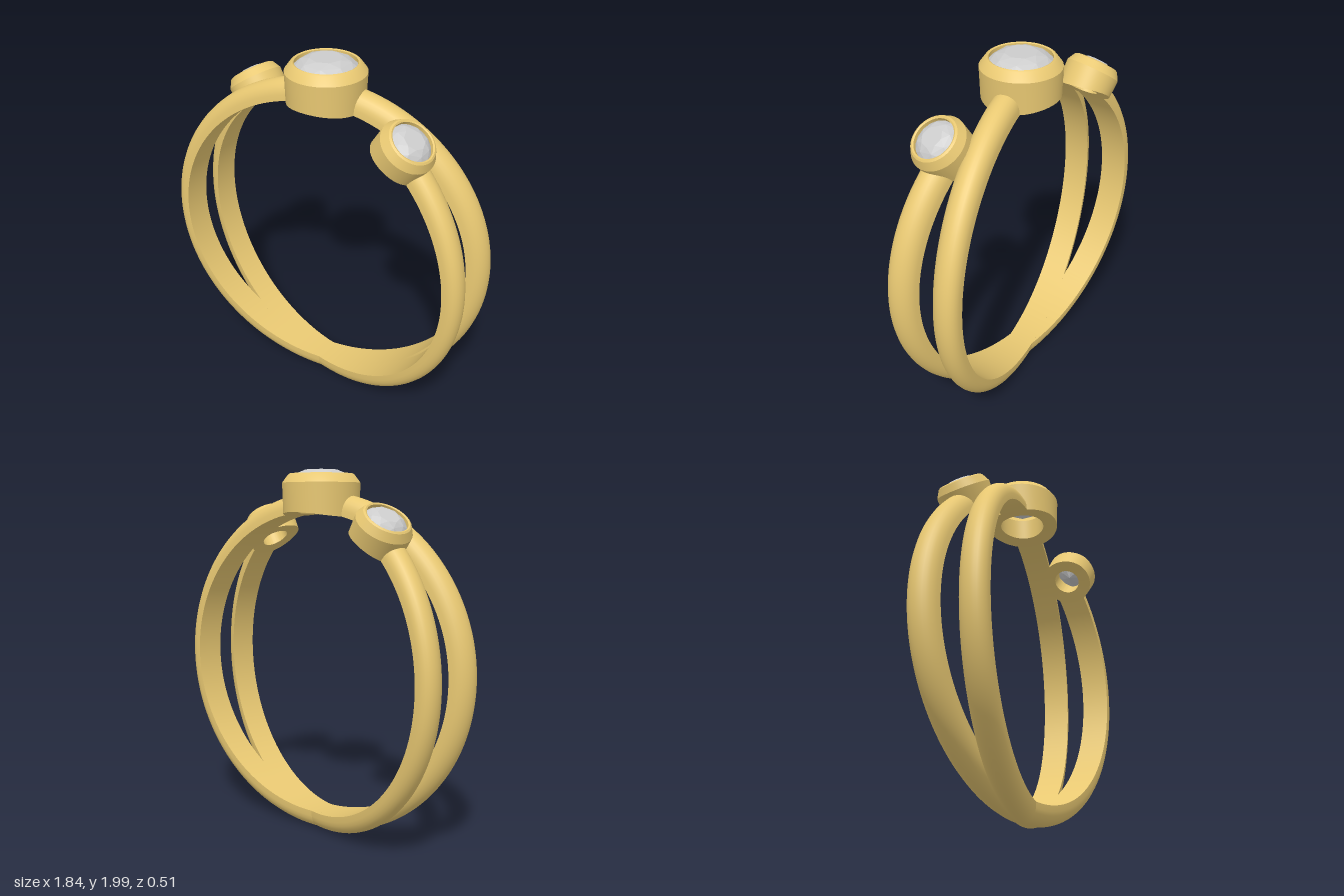
import * as THREE from 'three';
import { toCreasedNormals } from 'three/addons/utils/BufferGeometryUtils.js';
import { ConvexGeometry } from 'three/addons/geometries/ConvexGeometry.js';

const CY = 0.945;      // height of the finger hole's centre
const INNER = 0.832;   // finger hole radius
const gold = new THREE.MeshStandardMaterial({ color: 0xe8c872 });
const stone = new THREE.MeshStandardMaterial({ color: 0xcccccc, flatShading: true });

function addMesh(parent, name, geometry, material) {
  const mesh = new THREE.Mesh(geometry, material);
  mesh.name = name;
  parent.add(mesh);
  return mesh;
}

// D-shaped band: flat inside, domed outside, slanting sideways along x.
// gap is the angle left open on each side of the top.
function bandGeometry(slope, gap) {
  const steps = 160, arc = 14, cols = arc + 3, half = 0.078;
  const start = Math.PI / 2 + gap, sweep = 2 * Math.PI - 2 * gap;
  const pos = [], idx = [];
  for (let i = 0; i <= steps; i++) {
    const t = start + sweep * i / steps;
    const thick = 0.087 + 0.02 * Math.sin(t) ** 2;
    const put = (r, w) =>
      pos.push(r * Math.cos(t), CY + r * Math.sin(t), slope * r * Math.cos(t) + w);
    for (let j = 0; j <= arc; j++) {
      const p = Math.PI * j / arc;
      put(INNER + thick * Math.pow(Math.abs(Math.sin(p)), 0.8), half * Math.cos(p));
    }
    put(INNER, -half);
    put(INNER, half);
    if (i === steps) break;
    for (let j = 0; j < cols - 1; j++) {
      if (j === arc) continue; // sharp edge between dome and flat
      const a = i * cols + j, b = a + 1, c = a + cols, d = c + 1;
      idx.push(a, b, c, b, d, c);
    }
  }
  const g = new THREE.BufferGeometry();
  g.setAttribute('position', new THREE.Float32BufferAttribute(pos, 3));
  g.setIndex(idx);
  g.computeVertexNormals();
  return g;
}

// Open collar with a bevelled rim; its underside is trimmed to the finger hole
function bezelGeometry(s, matrix) {
  const profile = [
    [s.hole, -s.depth], [s.radius * 0.98, -s.depth], [s.radius, 0],
    [s.seat + 0.018, 0.043], [s.seat + 0.008, 0.049], [s.seat, 0.045],
    [s.seat, 0.015], [s.hole, -0.035], [s.hole, -s.depth],
  ].map(([x, y]) => new THREE.Vector2(x, y));
  const g = new THREE.LatheGeometry(profile, 64);
  const p = g.attributes.position, v = new THREE.Vector3();
  for (let i = 0; i < p.count; i++) {
    v.fromBufferAttribute(p, i);
    const under = v.y < -s.depth + 0.001;
    v.applyMatrix4(matrix);
    if (under) {
      const k = INNER / Math.hypot(v.x, v.y - CY);
      v.set(v.x * k, CY + (v.y - CY) * k, v.z);
    }
    p.setXYZ(i, v.x, v.y, v.z);
  }
  return toCreasedNormals(g, 0.4);
}

// Round brilliant: table, crown facets, girdle, pavilion and culet
function gemGeometry(r, crown) {
  const pts = [new THREE.Vector3(0, -0.78 * r, 0)];
  const ring = (n, radius, y, turn) => {
    for (let i = 0; i < n; i++) {
      const a = (i + turn) * 2 * Math.PI / n;
      pts.push(new THREE.Vector3(radius * Math.cos(a), y, radius * Math.sin(a)));
    }
  };
  ring(8, 0.52 * r, crown, 0);
  ring(8, 0.8 * r, crown * 0.62, 0.5);
  ring(16, r, 0, 0);
  ring(8, 0.5 * r, -0.46 * r, 0.5);
  return new ConvexGeometry(pts);
}

function setting(name, s) {
  const group = new THREE.Group();
  group.name = name;
  const turn = new THREE.Quaternion().setFromUnitVectors(
    new THREE.Vector3(0, 1, 0), new THREE.Vector3(...s.axis).normalize());
  const matrix = new THREE.Matrix4().compose(
    new THREE.Vector3(...s.at), turn, new THREE.Vector3(1, 1, 1));
  addMesh(group, 'bezel', bezelGeometry(s, matrix), gold);
  const gem = gemGeometry(s.seat + 0.002, s.crown).translate(0, 0.025, 0);
  addMesh(group, 'gem', gem.applyMatrix4(matrix), stone);
  return group;
}

export function createModel() {
  const model = new THREE.Group();
  model.name = 'ring';

  // Two bands crossing at the bottom; one carries the centre stone,
  // the other ends at the two side stones
  addMesh(model, 'centreBand', bandGeometry(-0.157, 0.194), gold);
  addMesh(model, 'sideBand', bandGeometry(0.157, 0.74), gold);

  model.add(setting('centreSetting', {
    at: [0, 1.93, 0], axis: [0, 1, 0],
    radius: 0.21, seat: 0.16, hole: 0.125, depth: 0.155, crown: 0.045,
  }));

  // Side settings, half a turn apart
  const side = {
    at: [0.543, 1.715, 0.108], axis: [0.58, 0.8, 0.12],
    radius: 0.15, seat: 0.108, hole: 0.075, depth: 0.11, crown: 0.036,
  };
  model.add(setting('leftSetting', side));
  const right = setting('rightSetting', side);
  right.rotation.y = Math.PI;
  model.add(right);

  return model;
}
